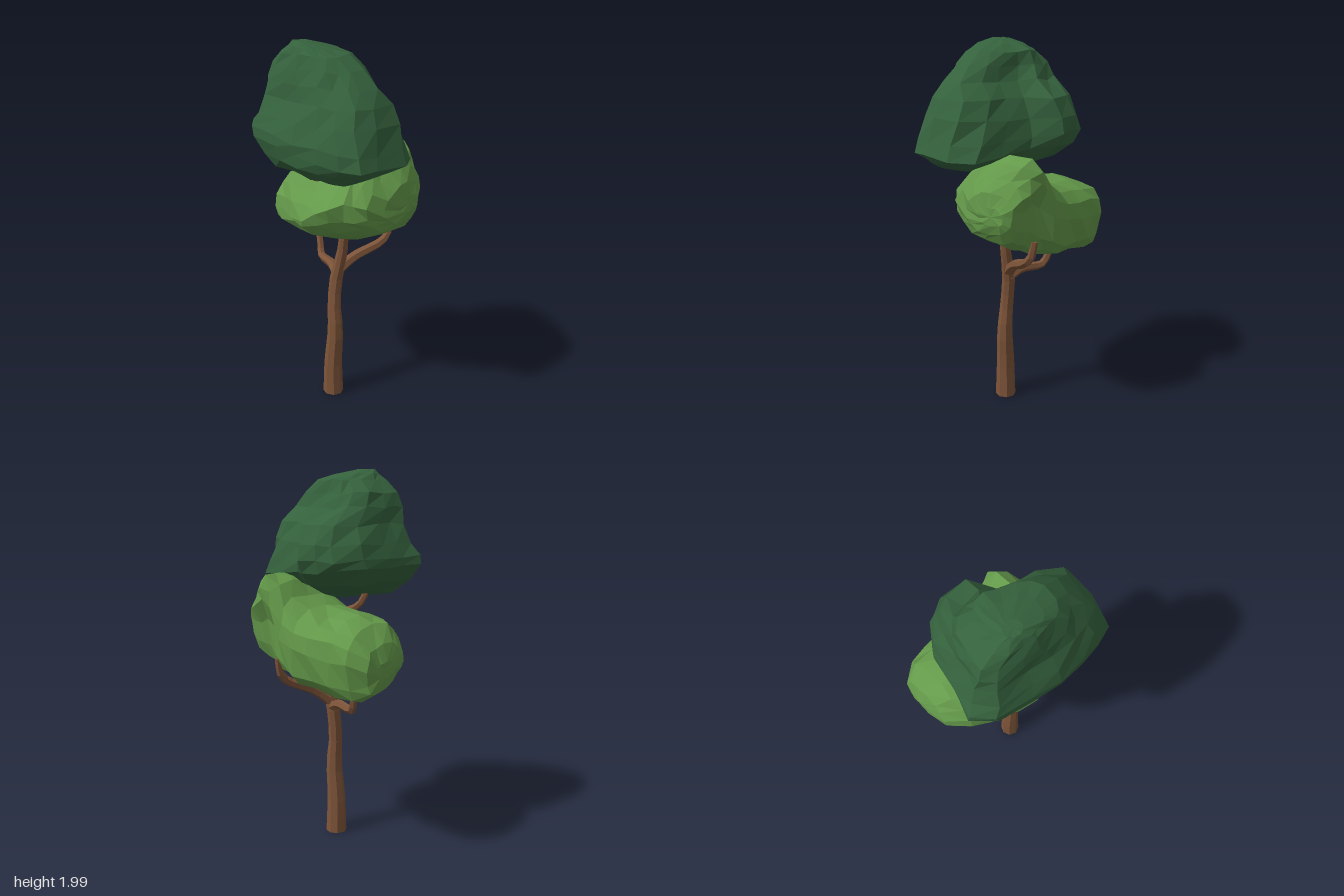
import * as THREE from 'three';

// Seeded jitter in -1..1
function makeRandom(seed) {
  let s = seed;
  return () => {
    s = (s * 16807) % 2147483647;
    return (s / 2147483647) * 2 - 1;
  };
}

// Closed faceted skin through rings that turn counter-clockwise about the path
function loft(rings) {
  const n = rings[0].length, pos = [], index = [];
  const centre = ring => ring.reduce((c, p) => c.add(p), new THREE.Vector3()).divideScalar(n);
  rings.forEach(ring => ring.forEach(p => pos.push(p.x, p.y, p.z)));
  const first = rings.length * n, last = first + 1, top = (rings.length - 1) * n;
  for (const ring of [rings[0], rings[rings.length - 1]]) pos.push(...centre(ring).toArray());
  for (let j = 0; j < n; j++) {
    const k = (j + 1) % n;
    for (let i = 0; i < rings.length - 1; i++) {
      const a = i * n + j, b = i * n + k;
      index.push(a, b, b + n, a, b + n, a + n);
    }
    index.push(first, k, j, last, top + j, top + k);
  }
  const g = new THREE.BufferGeometry();
  g.setAttribute('position', new THREE.Float32BufferAttribute(pos, 3));
  g.setIndex(index);
  const flat = g.toNonIndexed();
  flat.computeVertexNormals();
  return flat;
}

// Tapered limb; each point is [x, y, z, radius]
function limb(points, sides, steps) {
  const curve = new THREE.CatmullRomCurve3(points.map(p => new THREE.Vector3(p[0], p[1], p[2])));
  const rings = [];
  const frames = curve.computeFrenetFrames(steps);
  for (let i = 0; i <= steps; i++) {
    const u = i / steps;
    const t = curve.getUtoTmapping(u) * (points.length - 1);
    const k = Math.min(Math.floor(t), points.length - 2);
    const r = THREE.MathUtils.lerp(points[k][3], points[k + 1][3], t - k);
    const c = curve.getPointAt(u);
    rings.push(Array.from({ length: sides }, (_, j) => {
      const a = (j / sides) * Math.PI * 2;
      return c.clone()
        .addScaledVector(frames.normals[i], r * Math.cos(a))
        .addScaledVector(frames.binormals[i], r * Math.sin(a));
    }));
  }
  return loft(rings);
}

// Upper crown: one plan outline resized at each height, rounder towards the top
function upperCrown() {
  const rnd = makeRandom(71);
  const outline = [
    [0, 1], [0.37, 1], [0.64, 0.93], [0.86, 0.82], [0.95, 0.52], [1, 0], [0.84, -0.37],
    [0.53, -0.5], [0.15, -0.67], [-0.08, -0.97], [-0.37, -1], [-0.57, -0.88], [-0.78, -0.55],
    [-0.87, -0.07], [-0.91, 0.22], [-1, 0.52], [-0.78, 0.82], [-0.33, 0.91],
  ];
  // height, min x, max x, back z, front z, roundness, tilt, tuck of the back +x corner
  const levels = [
    [1.338, -0.12, 0.2, 0.02, 0.24, 0.3, 0, 0], [1.365, -0.24, 0.3, -0.06, 0.295, 0, 0, 0],
    [1.42, -0.345, 0.4, -0.2, 0.335, 0, 0.04, 0], [1.485, -0.42, 0.458, -0.29, 0.358, 0, 0.09, 0],
    [1.54, -0.42, 0.44, -0.305, 0.355, 0, 0.05, 0.08], [1.63, -0.38, 0.405, -0.3, 0.328, 0, 0, 0.16],
    [1.72, -0.345, 0.365, -0.25, 0.293, 0, 0, 0.2], [1.8, -0.335, 0.31, -0.14, 0.272, 0.2, 0, 0.15],
    [1.87, -0.31, 0.235, -0.1, 0.255, 0.3, 0, 0.05], [1.935, -0.23, 0.145, -0.065, 0.235, 0.4, 0, 0],
    [1.965, -0.19, 0.06, 0.01, 0.217, 0.6, 0, 0], [1.99, -0.15, -0.06, 0.11, 0.19, 0.8, 0, 0],
  ];
  return loft(levels.map(([y, x0, x1, z0, z1, roundness, tilt, tuck]) => {
    const w = (x1 - x0) / 2, d = (z1 - z0) / 2;
    const jitter = () => rnd() * Math.min(0.01, w * 0.05);
    return outline.map(([u, v]) => {
      const corner = u > 0 && v < 0 ? 1 - tuck : 1;
      const f = corner * THREE.MathUtils.lerp(1, 1 / Math.hypot(u, v), roundness);
      const x = (x0 + x1) / 2 + u * f * w;
      const z = (z0 + z1) / 2 + v * f * d;
      return new THREE.Vector3(x + jitter(), y - tilt * x + jitter(), z + jitter());
    });
  }));
}

// Lower crown: slices along x, rising towards +x, with a low squarish back edge
function lowerCrown() {
  const rnd = makeRandom(29);
  const sides = 16;
  // x, bottom, top, back z, front z, backward lean of the top, drop of the back edge
  const slices = [
    [-0.458, 1.0, 1.08, -0.22, -0.08, 0, 0], [-0.435, 0.94, 1.16, -0.285, 0.02, 0, 0.04],
    [-0.35, 0.9, 1.25, -0.335, 0.12, 0, 0.085], [-0.25, 0.905, 1.27, -0.345, 0.18, 0, 0.085],
    [-0.13, 0.92, 1.28, -0.35, 0.235, 0.01, 0.08], [-0.02, 0.93, 1.3, -0.345, 0.265, 0.03, 0.075],
    [0.07, 0.95, 1.36, -0.32, 0.255, 0.07, 0.07], [0.14, 0.965, 1.44, -0.29, 0.235, 0.14, 0.055],
    [0.2, 0.985, 1.475, -0.275, 0.205, 0.16, 0.04], [0.25, 1.01, 1.43, -0.27, 0.17, 0.12, 0.03],
    [0.3, 1.04, 1.37, -0.27, 0.12, 0.07, 0.02], [0.338, 1.09, 1.3, -0.255, 0.03, 0.03, 0],
    [0.355, 1.14, 1.23, -0.22, -0.07, 0, 0],
  ];
  return loft(slices.map(([x, y0, y1, z0, z1, lean, drop]) => {
    const jitter = () => rnd() * Math.min(0.012, (y1 - y0) * 0.04);
    return Array.from({ length: sides }, (_, j) => {
      const a = (j / sides) * Math.PI * 2;
      const c = Math.cos(a), s = Math.sin(a);
      const power = c < 0 && s < 0 ? 0.7 : 0.88;
      const up = Math.sign(c) * Math.abs(c) ** power;
      const out = Math.sign(s) * Math.abs(s) ** power;
      return new THREE.Vector3(
        x + jitter(),
        (y0 + y1) / 2 + up * (y1 - y0) / 2 - Math.min(up, 0) * out * drop + jitter(),
        (z0 + z1) / 2 + out * (z1 - z0) / 2 - lean * Math.max(up, 0) + jitter());
    });
  }));
}

export function createModel() {
  const tree = new THREE.Group();
  tree.name = 'tree';
  const material = (name, color) => {
    const m = new THREE.MeshStandardMaterial({ color, flatShading: true });
    m.name = name;
    return m;
  };
  const bark = material('brown bark', 0x7d5439);
  const darkLeaf = material('dark green leaves', 0x35623d);
  const lightLeaf = material('light green leaves', 0x64994a);
  const add = (name, geometry, mat) => {
    const mesh = new THREE.Mesh(geometry, mat);
    mesh.name = name;
    tree.add(mesh);
  };

  // Trunk and branches
  add('trunk', limb([
    [0, 0, 0.043, 0.057], [0, 0.2, 0.043, 0.05], [0.012, 0.4, 0.038, 0.043],
    [0, 0.56, 0.034, 0.036], [0.003, 0.72, 0.018, 0.036], [0.03, 0.84, 0.01, 0.031],
    [0.05, 0.96, 0.012, 0.025], [0.07, 1.15, 0.03, 0.022], [0.1, 1.42, 0.06, 0.018],
  ], 8, 16), bark);
  add('rightBranch', limb([
    [0.01, 0.73, 0.015, 0.032], [-0.06, 0.765, -0.015, 0.026], [-0.19, 0.768, -0.07, 0.022],
    [-0.215, 0.82, -0.09, 0.02], [-0.265, 0.97, -0.115, 0.017],
  ], 6, 12), bark);
  add('backBranch', limb([
    [0.01, 0.76, 0.015, 0.032], [0.06, 0.83, -0.06, 0.028], [0.14, 0.9, -0.2, 0.024],
    [0.15, 0.94, -0.24, 0.021], [0.15, 1.03, -0.26, 0.018],
  ], 6, 10), bark);
  add('upperBranch', limb([
    [0.06, 1.1, 0.03, 0.022], [-0.03, 1.25, 0.06, 0.02], [-0.11, 1.29, 0.08, 0.018],
    [-0.145, 1.34, 0.09, 0.017], [-0.16, 1.43, 0.1, 0.014],
  ], 6, 10), bark);

  // Foliage
  add('lowerCrown', lowerCrown(), lightLeaf);
  add('upperCrown', upperCrown(), darkLeaf);
  return tree;
}
